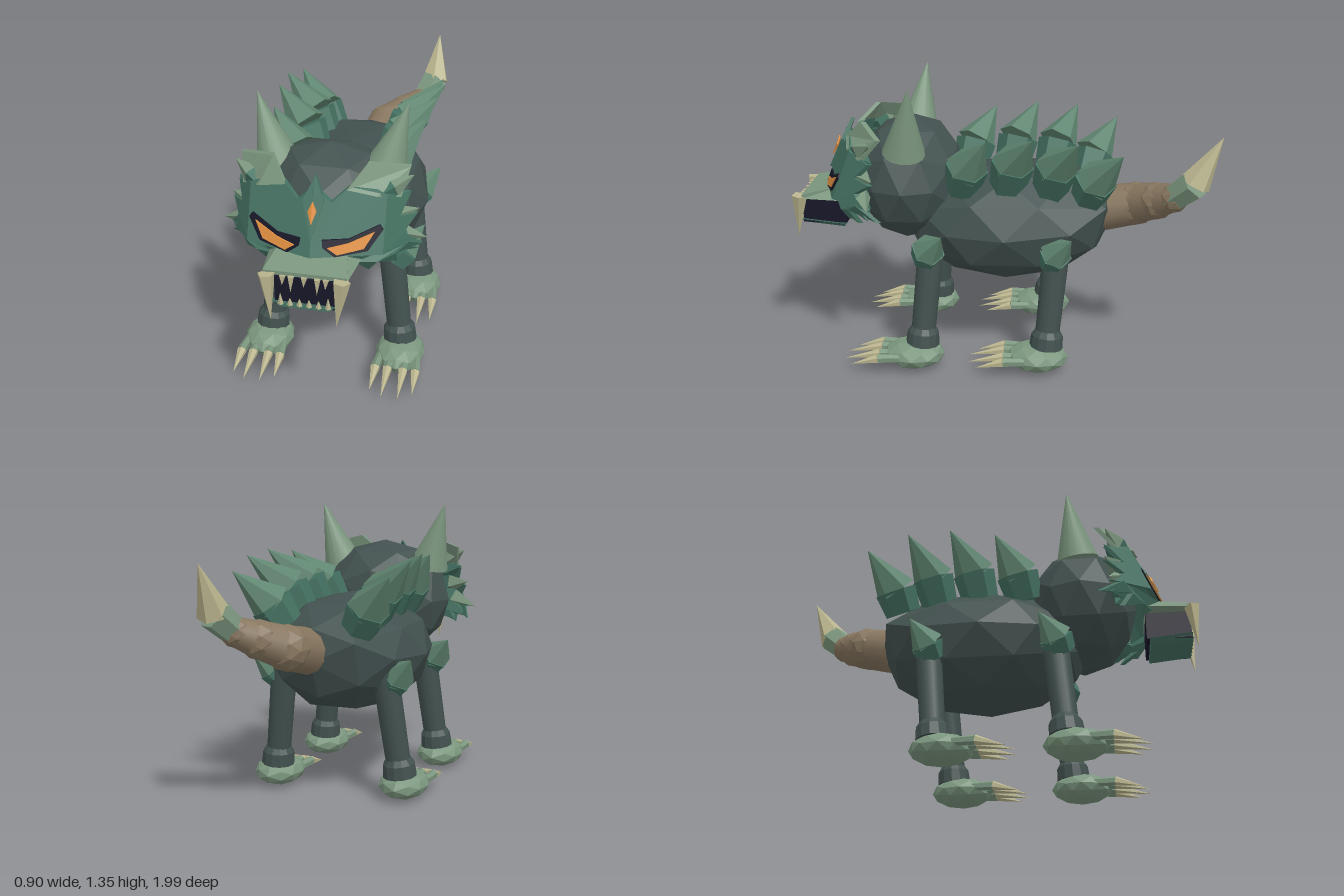
import * as THREE from 'three';

const mat = (name, color) => { const m = new THREE.MeshStandardMaterial({ color }); m.name = name; return m; };

export function createModel() {
  const slate = mat('slate hide', 0x42514f), green = mat('deep green', 0x467363), sage = mat('sage', 0x7b967e);
  const moss = mat('moss', 0x5f8570), bone = mat('bone', 0xbbb68f), brown = mat('tail brown', 0x87765f);
  const navy = mat('navy', 0x181729), orange = mat('orange', 0xe08f40);
  const root = new THREE.Group();
  const V = (p) => new THREE.Vector3(...p);

  const facet = (g) => { const f = g.index ? g.toNonIndexed() : g; f.computeVertexNormals(); return f; };
  const add = (name, geo, material, parent = root) => {
    const m = new THREE.Mesh(geo, material);
    m.name = name;
    parent.add(m);
    return m;
  };
  // Faceted ellipsoid, optionally reshaped by a rule
  const lump = (name, c, r, material, parent, rule) => {
    const g = new THREE.IcosahedronGeometry(1, 1).scale(...r);
    const p = g.attributes.position;
    if (rule) for (let i = 0; i < p.count; i++) p.setXYZ(i, ...rule(p.getX(i), p.getY(i), p.getZ(i)));
    add(name, facet(g), material, parent).position.set(...c);
  };
  // Tapered round piece between two points
  const limb = (name, a, b, ra, rb, material, sides, flat, parent) => {
    const A = V(a), B = V(b), d = B.clone().sub(A);
    let g = new THREE.CylinderGeometry(rb, ra, d.length(), sides);
    if (flat) g = facet(g);
    const m = add(name, g, material, parent);
    m.position.copy(A).add(B).multiplyScalar(0.5);
    m.quaternion.setFromUnitVectors(new THREE.Vector3(0, 1, 0), d.normalize());
  };
  // Two-tone spike with a shoulder where the tip starts
  const spike = (name, a, b, r, low, high, parent, shoulder, sides = 6) => {
    const g = new THREE.Group();
    g.name = name;
    const s = shoulder || V(a).lerp(V(b), 0.4).toArray();
    limb(name + 'Base', a, s, r * 0.85, r, low, sides, true, g);
    limb(name + 'Tip', s, b, r, 0, high, sides, true, g);
    (parent || root).add(g);
  };
  // Face relief: gentle across the eyes, swept back at temples, forehead and cheeks
  const faceZ = (x, y) => 0.855 - 0.3 * Math.abs(x) - 1.1 * Math.max(0, Math.abs(x) - 0.29)
    - 0.4 * Math.max(0, y - 0.83) - 0.4 * Math.max(0, y - 1.1) - 0.7 * Math.max(0, 0.83 - y);
  const plate = (name, pts, side, lift, depth, material) => {
    const shape = new THREE.Shape(pts.map(([x, y]) => new THREE.Vector2(x * side, y)));
    const g = new THREE.ExtrudeGeometry(shape, { depth, bevelEnabled: false });
    const p = g.attributes.position;
    for (let i = 0; i < p.count; i++) p.setZ(i, p.getZ(i) + faceZ(p.getX(i), p.getY(i)) + lift - depth);
    add(name, facet(g), material);
  };

  // Body with a fuller, raised rump, and head
  lump('body', [0, 0.665, -0.03], [0.375, 0.285, 0.51], slate, root,
    (x, y, z) => (z < -0.2 && y > -0.05 ? [x, y + 0.02, Math.max(z * 1.13, -0.51)] : [x, y, z]));
  lump('head', [0, 0.868, 0.44], [0.345, 0.298, 0.265], slate);

  for (const s of [1, -1]) {
    const side = s > 0 ? 'left' : 'right';
    // Horns
    limb(side + 'Horn', [s * 0.235, 1.04, 0.435], [s * 0.33, 1.355, 0.395], 0.1, 0, sage, 16, false);

    // Back spikes: base z, tip x, tip y
    [[0.15, 0.36, 1.13], [-0.06, 0.39, 1.15], [-0.26, 0.4, 1.135], [-0.44, 0.37, 1.08]].forEach(([z, x, y], i) =>
      spike(side + 'BackSpike' + (i + 1), [s * 0.18, i === 3 ? 0.83 : 0.86, z + 0.025],
        [s * x, y, z - 0.1 - (i === 3 ? 0.02 : 0)], 0.1, green, moss, root, [s * 0.235, y - 0.155, z - 0.005]));

    // Legs: front and hind are alike
    for (const [end, dz] of [['Front', 0], ['Hind', -0.59]]) {
      const leg = new THREE.Group();
      leg.name = side + end + 'Leg';
      leg.position.z = dz;
      root.add(leg);
      limb('shin', [s * 0.313, 0.13, 0.36], [s * 0.252, 0.62, 0.315], 0.057, 0.062, slate, 16, false, leg);
      limb('ankle', [s * 0.313, 0.12, 0.36], [s * 0.308, 0.18, 0.355], 0.08, 0.075, slate, 12, true, leg);
      limb('ankleTop', [s * 0.308, 0.18, 0.355], [s * 0.306, 0.207, 0.353], 0.075, 0.058, slate, 12, true, leg);
      lump('foot', [s * 0.32, 0.073, 0.4], [0.118, 0.069, 0.148], sage, leg);
      [-0.085, -0.033, 0.033, 0.085].forEach((o, i) => {
        const x = s * 0.322 + o, len = Math.abs(o) < 0.05 ? 0.73 : 0.69;
        spike('claw' + (i + 1), [x, 0.08, 0.46], [x + o * 0.15, 0.05, len], 0.023, sage, bone, leg,
          [x + o * 0.1, 0.08, 0.56]);
      });
      spike('shoulderSpike', [s * 0.27, 0.54, 0.345], [s * 0.397, 0.69, 0.25], 0.08, green, moss, leg,
        [s * 0.312, 0.595, 0.322]);
    }

    // Face mask in three sheets, then brow, eyes and crest
    plate(side + 'Mask', [[0, 0.83], [0.29, 0.83], [0.29, 1.06], [0.25, 1.08], [0.14, 1.1], [0.07, 1.04], [0, 1.1]],
      s, 0, 0.025, green);
    plate(side + 'Temple', [[0.29, 0.83], [0.41, 0.82], [0.36, 0.88], [0.4, 0.93], [0.34, 0.95], [0.37, 1.02], [0.29, 1.06]],
      s, 0, 0.025, green);
    plate(side + 'Cheek', [[0.15, 0.83], [0.17, 0.78], [0.22, 0.71], [0.26, 0.77], [0.33, 0.73], [0.33, 0.79], [0.42, 0.765],
      [0.38, 0.83]], s, 0, 0.025, green);
    plate(side + 'BrowPlate', [[0.13, 1.09], [0.25, 1.06], [0.34, 1.03], [0.365, 1.13], [0.2, 1.175]], s, 0.01, 0.025, sage);
    plate(side + 'EyeSocket', [[0.05, 0.87], [0.045, 0.9], [0.15, 0.9], [0.27, 0.95], [0.285, 0.93], [0.23, 0.85], [0.1, 0.832]],
      s, 0.007, 0.007, navy);
    plate(side + 'Eye', [[0.07, 0.87], [0.15, 0.885], [0.253, 0.925], [0.215, 0.862], [0.11, 0.842]], s, 0.013, 0.006, orange);
    plate(side + 'ForeheadCrest', [[0, 0.9], [0.045, 1.05], [0, 1.145]], s, 0.012, 0.02, green);

    // Mane blades swept out from the cheeks: base y, tip, colour
    [[1.04, 0.385, 1.11, 0.57, sage], [1.0, 0.375, 1.03, 0.56, green], [0.93, 0.41, 0.95, 0.56, sage],
      [0.89, 0.45, 0.82, 0.575, sage], [0.84, 0.41, 0.765, 0.58, green], [0.82, 0.33, 0.74, 0.6, green],
    ].forEach(([y, tx, ty, tz, tip], i) =>
      spike(side + 'ManeBlade' + (i + 1), [s * 0.25, y, 0.65], [s * tx, ty, tz], 0.045, green, tip, root, null, 4));

    // Fangs
    limb(side + 'Fang', [s * 0.156, 0.8, 0.955], [s * 0.138, 0.59, 0.975], 0.038, 0, bone, 5, true);
  }

  // Forehead gem
  for (const s of [1, -1]) plate('gem', [[0, 0.965], [0.018, 1.015], [0, 1.055]], s, 0.02, 0.008, orange);

  // Snout: a wedge that rises and widens toward the face
  const snout = new THREE.BoxGeometry(0.35, 0.02, 0.2);
  const sp = snout.attributes.position;
  for (let i = 0; i < sp.count; i++) {
    if (sp.getZ(i) > 0) continue;
    const top = sp.getY(i) > 0;
    sp.setXYZ(i, sp.getX(i) * (top ? 0.8 : 1.14), top ? 0.05 : -0.01, sp.getZ(i));
  }
  add('snout', facet(snout), sage).position.set(0, 0.798, 0.84);

  // Mouth, jaw and small teeth
  add('mouth', new THREE.BoxGeometry(0.25, 0.135, 0.21), navy).position.set(0, 0.722, 0.845);
  const jaw = new THREE.BoxGeometry(0.27, 0.025, 0.2);
  const jp = jaw.attributes.position;
  for (let i = 0; i < jp.count; i++) if (jp.getY(i) < 0) jp.setX(i, jp.getX(i) * 0.75);
  const jawMesh = add('lowerJaw', facet(jaw), green);
  jawMesh.position.set(0, 0.65, 0.855);
  jawMesh.rotation.x = -0.1;
  [-0.09, -0.055, 0, 0.055, 0.09].forEach((x, i) =>
    limb('upperTooth', [x, 0.795, 0.95], [x, i % 2 ? 0.725 : 0.755, 0.96], 0.015, 0, bone, 5, true));
  [-0.1, -0.06, -0.02, 0.02, 0.06, 0.1].forEach((x) =>
    limb('lowerTooth', [x, 0.66, 0.95], [x, Math.abs(x) > 0.08 ? 0.715 : 0.695, 0.955], 0.014, 0, bone, 5, true));

  // Tail: tapering segments with knobbly joints, ending in a hooked barb
  const tail = [[0.04, 0.73, -0.49, 0.108], [0.065, 0.765, -0.64, 0.1], [0.155, 0.81, -0.73, 0.085], [0.23, 0.85, -0.8, 0.066]];
  for (let i = 0; i < 3; i++) {
    const a = tail[i], b = tail[i + 1], r = b[3] * 1.06;
    limb('tailSegment' + (i + 1), a.slice(0, 3), b.slice(0, 3), a[3], b[3], brown, 12, false);
    lump('tailJoint' + (i + 1), b.slice(0, 3), [r, r, r], brown);
  }
  spike('tailBarb', [0.225, 0.835, -0.785], [0.29, 1.155, -1.0], 0.074, sage, bone, root, [0.285, 0.935, -0.885]);

  return root;
}
